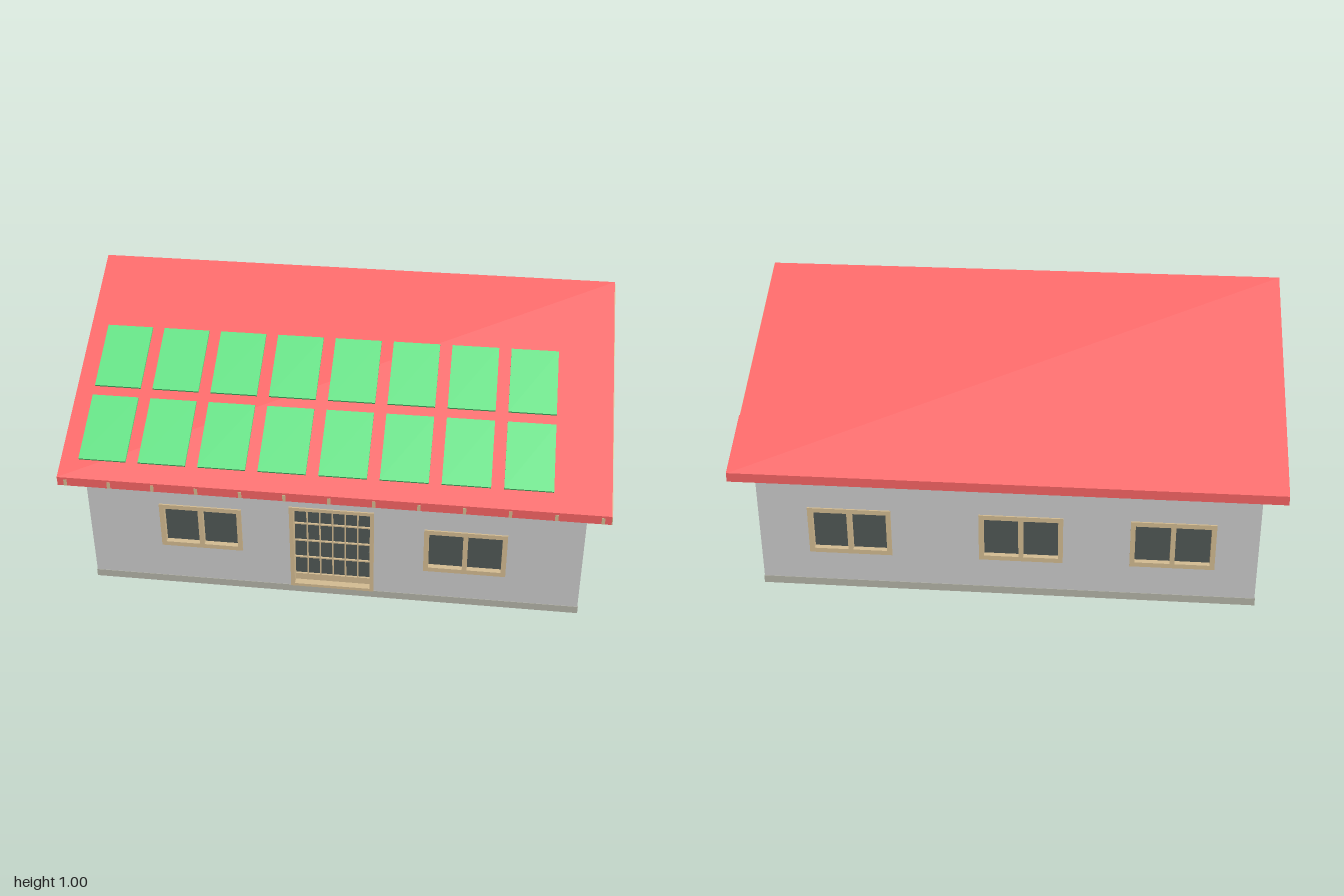
import * as THREE from 'three';

const mat = (color, side = THREE.FrontSide) => new THREE.MeshStandardMaterial({ color, side });
const WALL = mat(0xcccccc), RED = mat(0xf86464), GREEN = mat(0x62e284);
const TAN = mat(0xd4bc92), GLASS = mat(0x505856), BASE = mat(0xb4b4a8);

const HX = 0.92, HZ = 0.77, THICK = 0.05;    // wall half sizes and thickness
const SLOPE = 0.574, EAVE = 0.845, DEPTH = 0.035; // roof pitch, overhang, vertical thickness
const roofY = z => 1 - SLOPE * Math.abs(z);

function add(parent, name, geometry, material, x = 0, y = 0, z = 0) {
  const mesh = new THREE.Mesh(geometry, material);
  mesh.name = name;
  mesh.position.set(x, y, z);
  parent.add(mesh);
  return mesh;
}
const box = (parent, name, w, h, d, m, x, y, z) =>
  add(parent, name, new THREE.BoxGeometry(w, h, d), m, x, y, z);
const poly = pts => new THREE.Shape(pts.map(p => new THREE.Vector2(...p)));
const rect = (x0, y0, x1, y1) => poly([[x0, y0], [x1, y0], [x1, y1], [x0, y1]]);
const disc = (x, y, r) => new THREE.Shape().absarc(x, y, r, 0, Math.PI * 2, false);
const extrude = (shape, depth) =>
  new THREE.ExtrudeGeometry(shape, { depth, bevelEnabled: false, curveSegments: 16 });

// Two-pane window; the wall surface is local z = 0
function windowUnit(wall, x0, y0, x1, y1) {
  const g = new THREE.Group();
  g.name = 'window';
  const f = 0.018, mid = (x0 + x1) / 2;
  const frame = rect(x0, y0, x1, y1);
  frame.holes.push(rect(x0 + f, y0 + f, mid - 0.009, y1 - f), rect(mid + 0.009, y0 + f, x1 - f, y1 - f));
  add(g, 'windowFrame', extrude(frame, 0.036), TAN, 0, 0, -0.03);
  box(g, 'windowGlass', x1 - x0 - f, y1 - y0 - f, 0.006, GLASS, mid, (y0 + y1) / 2, -0.018);
  wall.add(g);
  return rect(x0 + 0.005, y0 + 0.005, x1 - 0.005, y1 - 0.005);
}

// Round gable window
function roundWindow(wall, x, y) {
  const ring = disc(x, y, 0.08);
  ring.holes.push(disc(x, y, 0.056));
  add(wall, 'roundWindowFrame', extrude(ring, 0.04), TAN, 0, 0, -0.034);
  const pane = new THREE.CylinderGeometry(0.06, 0.06, 0.006, 32).rotateX(Math.PI / 2);
  add(wall, 'roundWindowGlass', pane, GLASS, x, y, -0.022);
  return disc(x, y, 0.075);
}

// Glazed front door with a lattice of bars
function frontDoor(wall) {
  const g = new THREE.Group();
  g.name = 'frontDoor';
  const frame = rect(-0.16, 0.03, 0.155, 0.4);
  frame.holes.push(rect(-0.145, 0.042, 0.14, 0.386));
  add(g, 'doorFrame', extrude(frame, 0.045), TAN, 0, 0, -0.039);
  box(g, 'doorGlass', 0.29, 0.33, 0.006, GLASS, -0.0025, 0.225, -0.032);
  box(g, 'doorPanel', 0.29, 0.03, 0.014, TAN, -0.0025, 0.055, -0.028);
  for (let i = 1; i < 6; i++) box(g, 'latticeBar', 0.005, 0.32, 0.01, TAN, -0.145 + i * 0.0475, 0.226, -0.027);
  for (let i = 1; i < 4; i++) box(g, 'latticeBar', 0.285, 0.005, 0.01, TAN, -0.0025, 0.07 + i * 0.079, -0.027);
  box(g, 'doorHandle', 0.008, 0.012, 0.014, GLASS, 0.138, 0.195, -0.018);
  wall.add(g);
  return rect(-0.155, 0.03, 0.15, 0.395);
}

// Plain recessed side door
function sideDoor(wall) {
  box(wall, 'sideDoor', 0.182, 0.345, 0.012, TAN, 0.005, 0.2125, -0.042);
  box(wall, 'sideDoorHandle', 0.008, 0.01, 0.012, GLASS, 0.075, 0.21, -0.032);
  return rect(-0.085, 0.04, 0.095, 0.385);
}

// A wall facing local +z, with its openings cut out
function makeWall(house, name, outline, angle, distance, fit) {
  const wall = new THREE.Group();
  wall.name = name;
  const shape = poly(outline);
  shape.holes.push(...fit(wall));
  add(wall, name + 'Panel', extrude(shape, THICK), WALL, 0, 0, -THICK);
  wall.rotation.y = angle;
  wall.position.set(Math.sin(angle) * distance, 0, Math.cos(angle) * distance);
  house.add(wall);
}

export function createModel() {
  const house = new THREE.Group();
  house.name = 'house';

  // Plinth and floor
  box(house, 'plinth', 2 * HX + 0.004, 0.03, 2 * HZ + 0.004, BASE, 0, 0.015, 0);

  // Walls
  const top = roofY(HZ) - DEPTH + 0.005;
  const side = [[-HX, 0.02], [HX, 0.02], [HX, top], [-HX, top]];
  const gable = [[-HZ, 0.02], [HZ, 0.02], [HZ, top], [0, 1 - DEPTH + 0.005], [-HZ, top]];
  makeWall(house, 'frontWall', side, 0, HZ, w => [
    windowUnit(w, -0.65, 0.18, -0.34, 0.37), windowUnit(w, 0.34, 0.15, 0.645, 0.34), frontDoor(w)]);
  makeWall(house, 'backWall', side, Math.PI, HZ, w =>
    [-0.735, -0.1, 0.455].map(x => windowUnit(w, x, 0.15, x + 0.31, 0.34)));
  makeWall(house, 'leftGable', gable, Math.PI / 2, HX, w => [
    windowUnit(w, -0.587, 0.15, -0.277, 0.34), windowUnit(w, 0.23, 0.15, 0.54, 0.34), roundWindow(w, 0, 0.65)]);
  makeWall(house, 'rightGable', gable, -Math.PI / 2, HX, w => [
    windowUnit(w, -0.545, 0.15, -0.235, 0.34), windowUnit(w, 0.28, 0.15, 0.59, 0.34),
    roundWindow(w, 0, 0.65), sideDoor(w)]);

  // Roof chevron, drawn across z and extruded along x
  const band = (a, b, hi, lo) => poly([
    [a, roofY(a) - lo], [0, 1 - lo], [b, roofY(b) - lo], [b, roofY(b) - hi], [0, 1 - hi], [a, roofY(a) - hi]]);
  const roof = add(house, 'roof', extrude(band(-EAVE, EAVE, 0, DEPTH), 1.997), RED, -1, 0, 0);
  const verge = add(house, 'vergeBoard', extrude(band(-EAVE, 0.63, 0.007, DEPTH), 0.003), TAN, 0.997, 0, 0);
  const vergeEnd = add(house, 'vergeEnd', extrude(
    poly([[0.63, roofY(0.63) - DEPTH], [EAVE, roofY(EAVE) - DEPTH], [EAVE, roofY(EAVE)], [0.63, roofY(0.63)]]), 0.003),
    RED, 0.997, 0, 0);
  for (const m of [roof, verge, vergeEnd]) m.rotation.y = Math.PI / 2;

  // Rafter ends along the front eave
  for (let i = 0; i < 13; i++)
    box(house, 'rafterEnd', 0.012, 0.026, 0.004, TAN, -0.97 + i * 0.1615, roofY(EAVE) - 0.021, EAVE);

  // Purlins reaching out under the gable overhangs
  for (const z of [-0.735, 0, 0.735])
    box(house, 'purlin', 1.95, 0.035, 0.014, TAN, 0, roofY(z) - DEPTH - 0.006, z);

  // Solar panels, parallel to the front slope
  const tilt = Math.atan(SLOPE);
  for (const z of [0.409, 0.674])
    for (let i = 0; i < 8; i++) {
      const p = box(house, 'solarPanel', 0.175, 0.008, 0.265, GREEN, -0.842 + i * 0.221, roofY(z) + 0.015, z);
      p.rotation.x = tilt;
    }
  return house;
}
